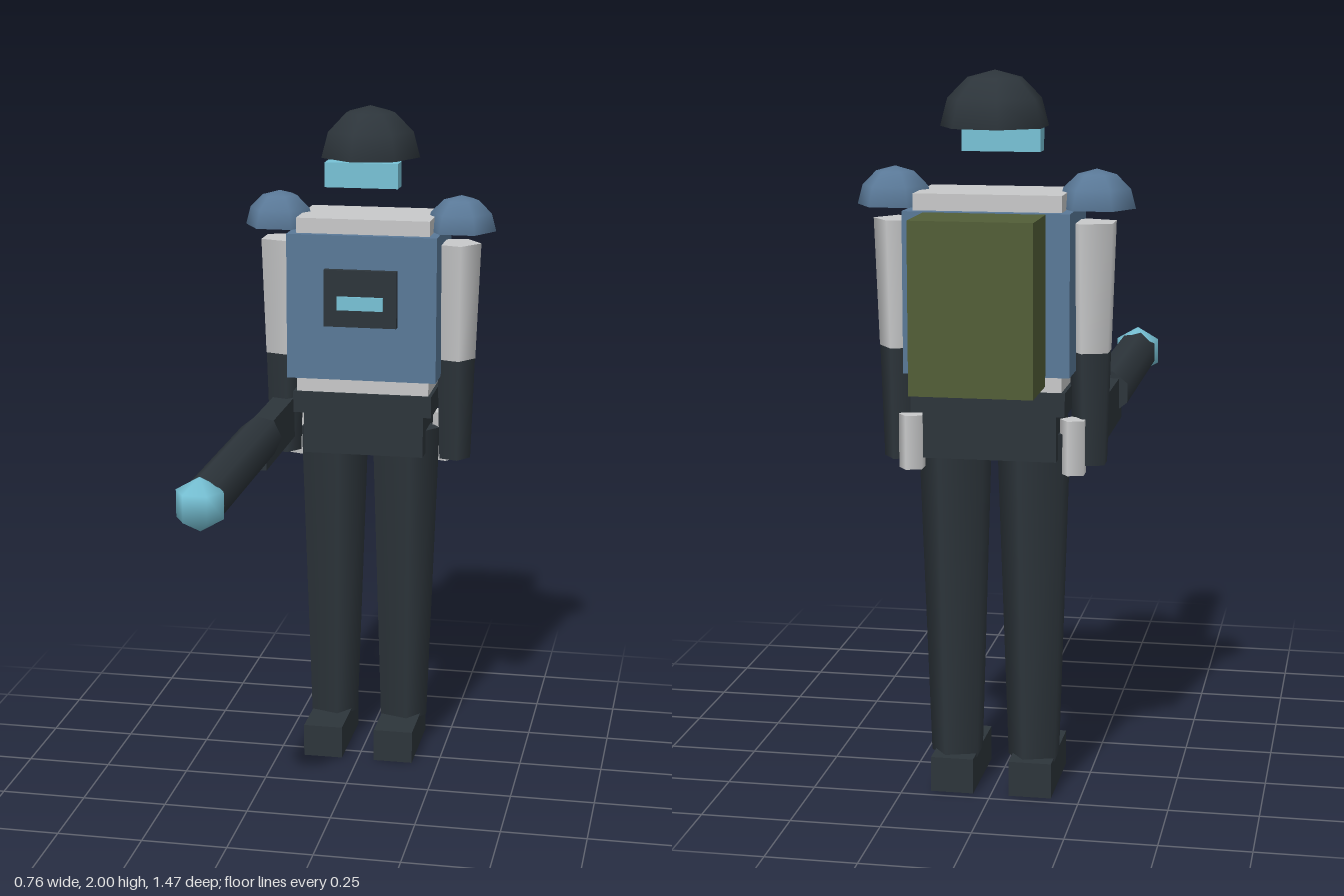
import * as THREE from 'three';

export function createModel() {
  const model = new THREE.Group();
  const paint = (name, color) => {
    const m = new THREE.MeshStandardMaterial({ color });
    m.name = name;
    return m;
  };
  const dark = paint('charcoal', 0x2d353b);
  const blue = paint('steelBlue', 0x5a7998);
  const light = paint('paleGrey', 0xc8c9ca);
  const cyan = paint('cyanGlow', 0x78c3d7);
  const olive = paint('olive', 0x525e38);

  const add = (name, geometry, material, x = 0, y = 0, z = 0) => {
    const mesh = new THREE.Mesh(geometry, material);
    mesh.name = name;
    mesh.position.set(x, y, z);
    model.add(mesh);
    return mesh;
  };
  // Box given by its centre x, width and its y and z ranges
  const box = (name, mat, x, w, y0, y1, z0, z1) =>
    add(name, new THREE.BoxGeometry(w, y1 - y0, z1 - z0), mat, x, (y0 + y1) / 2, (z0 + z1) / 2);
  // Upright tapered limb with one corner pointing to +x
  const limb = (name, mat, x, z, rTop, rBottom, y0, y1, sides = 5) =>
    add(name, new THREE.CylinderGeometry(rTop, rBottom, y1 - y0, sides, 1, false, Math.PI / 2),
      mat, x, (y0 + y1) / 2, z);
  // Closed half sphere
  const dome = (name, mat, x, y, z, r, sides) => {
    add(name, new THREE.SphereGeometry(r, sides, 3, Math.PI, Math.PI * 2, 0, Math.PI / 2), mat, x, y, z);
    const cap = new THREE.CircleGeometry(r, sides).rotateX(Math.PI / 2);
    add(name + 'Underside', cap, mat, x, y, z);
  };

  // Head
  dome('helmet', dark, 0, 1.85, -0.38, 0.15, 7);
  box('visor', cyan, 0, 0.217, 1.776, 1.849, -0.295, -0.232);

  // Body
  box('torso', light, 0, 0.4, 1.15, 1.68, -0.5, -0.255);
  box('vest', blue, 0, 0.45, 1.2, 1.635, -0.525, -0.232);
  box('chestPanel', dark, 0, 0.218, 1.365, 1.535, -0.235, -0.213);
  box('chestLight', cyan, 0, 0.138, 1.417, 1.457, -0.215, -0.204);
  box('belt', dark, 0, 0.42, 1.09, 1.155, -0.505, -0.247);
  box('pelvis', dark, 0, 0.365, 0.96, 1.09, -0.48, -0.27);
  box('backpack', olive, 0, 0.327, 1.18, 1.635, -0.737, -0.543);

  // Limbs and side pouches
  for (const [side, s] of [['left', 1], ['right', -1]]) {
    dome(side + 'ShoulderPad', blue, s * 0.275, 1.637, -0.378, 0.105, 6);
    limb(side + 'UpperArm', light, s * 0.262, -0.375, 0.075, 0.062, 1.25, 1.6);
    limb(side + 'Forearm', dark, s * 0.263, -0.375, 0.06, 0.05, 0.94, 1.25);
    limb(side + 'Leg', dark, s * 0.11, -0.375, 0.108, 0.076, 0.09, 1.03);
    box(side + 'Boot', dark, s * 0.11, 0.12, 0, 0.1, -0.47, -0.19);
    limb(side + 'HipCanister', light, s * 0.223, -0.427, 0.038, 0.038, 0.92, 1.07);
  }

  // Long barrelled device in the right hand
  box('weaponBody', dark, -0.261, 0.065, 0.985, 1.11, -0.36, 0.04);
  const barrel = limb('weaponBarrel', dark, -0.26, 0.325, 0.064, 0.064, 0, 0.7, 7);
  barrel.position.y = 1.068;
  barrel.rotation.x = Math.PI / 2;
  add('weaponTip', new THREE.SphereGeometry(0.075, 6, 3), cyan, -0.262, 1.07, 0.679);

  return model;
}
